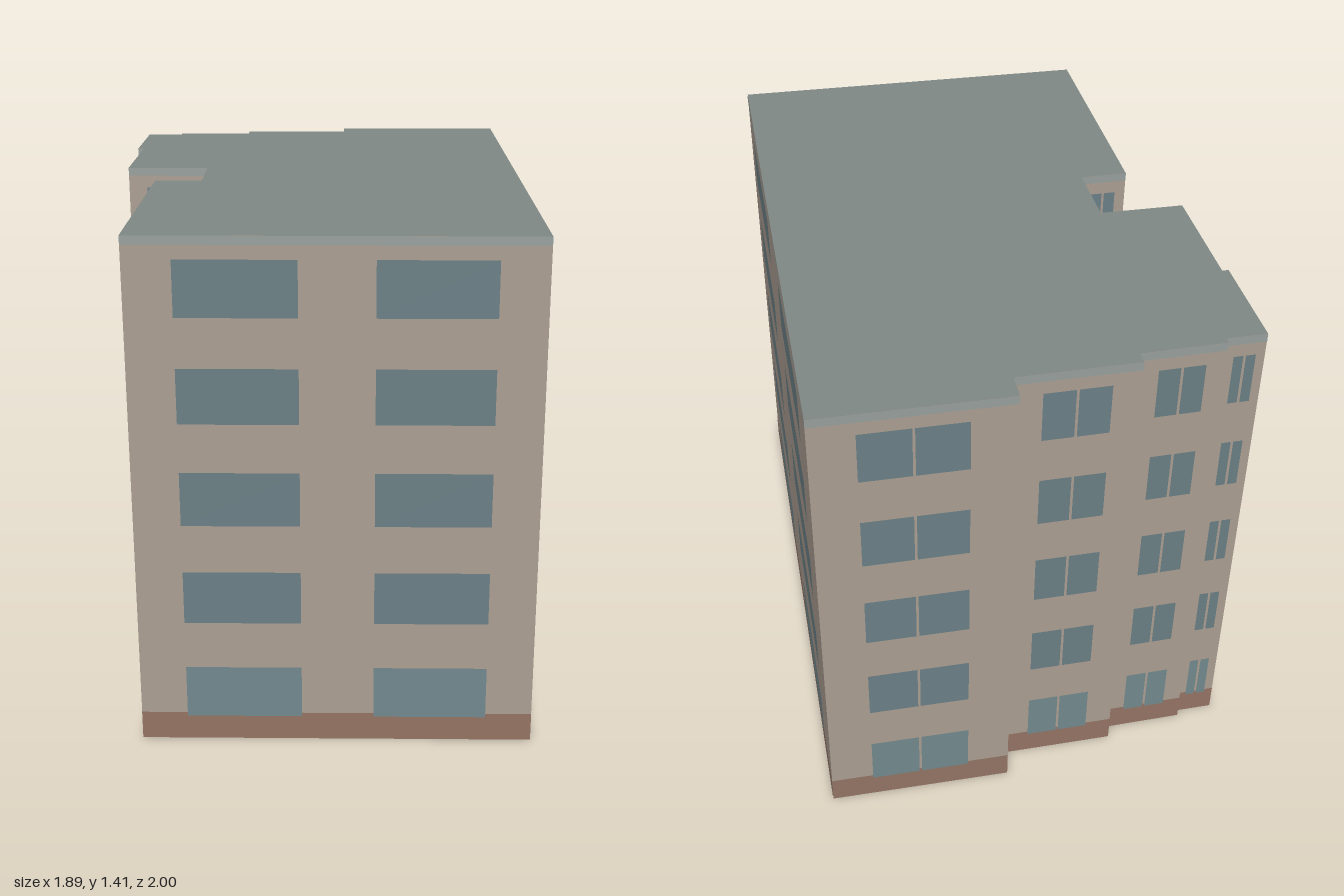
import * as THREE from 'three';
import { mergeGeometries } from 'three/addons/utils/BufferGeometryUtils.js';

const HEIGHT = 1.414, PLINTH = 0.08, TRIM = 1.39;
const FLOORS = 5, STOREY = 0.2835, SILL = 0.07, WINDOW_H = 0.15, PANE_GAP = 0.007;

// Footprint corners (x, z), starting at the rear corner, going past +x
const corners = [
  [-0.10, -1.0], [-0.01, -0.935], [0.0, -0.95], [0.19, -0.815], [0.212, -0.845], [0.48, -0.65],
  [0.525, -0.71], [0.943, -0.40], [-0.091, 0.998], [-0.945, 0.357], [-0.515, -0.225], [-0.405, -0.145],
  [-0.282, -0.315], [-0.475, -0.46], [-0.265, -0.745], [-0.28, -0.755],
];

// Upright rectangle on the wall a-b, between fractions f0-f1 and heights y0-y1
function panel(a, b, f0, f1, y0, y1, offset) {
  const dx = b[0] - a[0], dz = b[1] - a[1], length = Math.hypot(dx, dz);
  const mid = (f0 + f1) / 2;
  return new THREE.PlaneGeometry(length * (f1 - f0), y1 - y0)
    .rotateY(Math.atan2(dz, -dx))
    .translate(a[0] + dx * mid + (dz / length) * offset, (y0 + y1) / 2, a[1] + dz * mid - (dx / length) * offset);
}

export function createModel() {
  const group = new THREE.Group();
  const add = (name, geometry, color, side = THREE.FrontSide) => {
    const mesh = new THREE.Mesh(geometry, new THREE.MeshStandardMaterial({ color, side }));
    mesh.name = name;
    group.add(mesh);
  };
  const walls = corners.map((a, i) => [a, corners[(i + 1) % corners.length]]);
  const band = (y0, y1, offset) => mergeGeometries(walls.map(([a, b]) => panel(a, b, 0, 1, y0, y1, offset)));

  // Hollow wall shell, open at the bottom, with the plinth and trim laid over it
  add('walls', band(0, HEIGHT, 0), 0xada093, THREE.DoubleSide);
  add('plinth', band(0, PLINTH, 0.001), 0x957565);
  add('roofTrim', band(TRIM, HEIGHT, 0.001), 0x99a19e);

  // Flat roof
  const outline = new THREE.Shape(corners.map(([x, z]) => new THREE.Vector2(x, -z)));
  const roof = new THREE.ShapeGeometry(outline).rotateX(-Math.PI / 2).translate(0, HEIGHT, 0);
  add('roof', roof, 0x808a87, THREE.DoubleSide);

  // Windows: two wide ones on long walls, a split pair on short ones, none on the small steps
  const upper = [], ground = [];
  for (const [a, b] of walls) {
    const length = Math.hypot(b[0] - a[0], b[1] - a[1]);
    if (length < 0.1) continue;
    const gap = PANE_GAP / 2 / length;
    const spans = length > 0.65
      ? [[length > 1.5 ? 0.105 : 0.118, 0.405], [0.588, 0.882]]
      : [[0.23, 0.5 - gap], [0.5 + gap, 0.77]];
    for (let floor = 0; floor < FLOORS; floor++) {
      const y = SILL + floor * STOREY;
      for (const [f0, f1] of spans) {
        (floor ? upper : ground).push(panel(a, b, f0, f1, y, y + WINDOW_H, 0.002));
      }
    }
  }
  add('upperWindows', mergeGeometries(upper), 0x6c8187);
  add('groundWindows', mergeGeometries(ground), 0x738a8f);

  return group;
}
